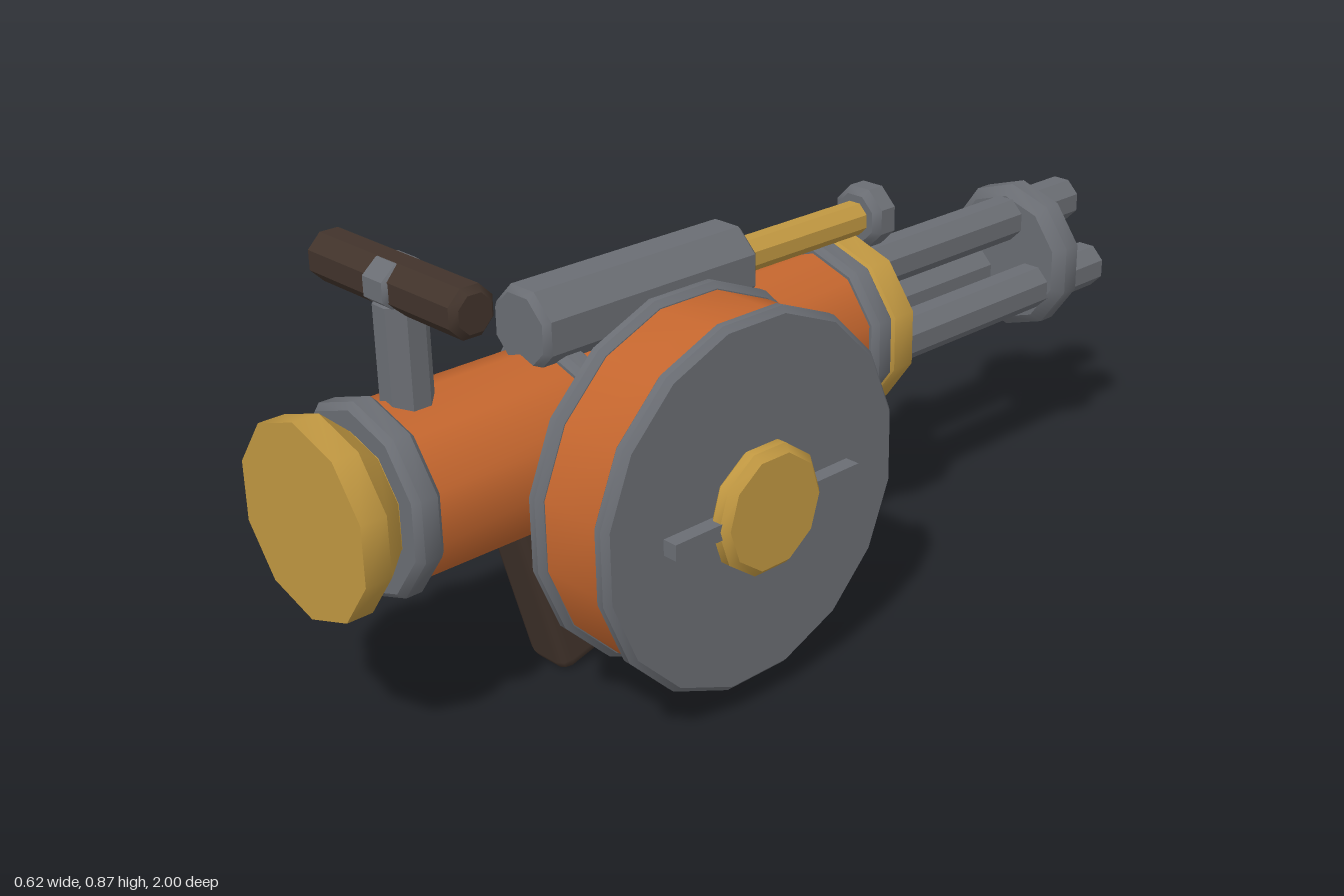
import * as THREE from 'three';
import { toCreasedNormals } from 'three/addons/utils/BufferGeometryUtils.js';
import { RoundedBoxGeometry } from 'three/addons/geometries/RoundedBoxGeometry.js';

const material = (name, color) => {
  const m = new THREE.MeshStandardMaterial({ color });
  m.name = name;
  return m;
};

export function createModel() {
  const group = new THREE.Group();
  const orange = material('orange paint', 0xc4662e);
  const steel = material('grey steel', 0x6a6d73);
  const brass = material('brass', 0xc09741);
  const wood = material('dark wood', 0x41332b);
  const black = material('bore black', 0x161616);

  const CX = -0.11, CY = 0.473; // axis of the main tube

  const add = (name, geometry, mat, x = 0, y = 0, z = 0) => {
    const mesh = new THREE.Mesh(geometry, mat);
    mesh.name = name;
    mesh.position.set(x, y, z);
    group.add(mesh);
    return mesh;
  };

  // Turned part along an axis; profile is [radius, distance] from start to end.
  const turned = (name, mat, axis, sides, profile, pos, flatTop = false) => {
    const g = new THREE.LatheGeometry(profile.map(([r, d]) => new THREE.Vector2(r, d)), sides);
    if (flatTop) g.rotateY(Math.PI / sides);
    if (axis === 'z') g.rotateX(Math.PI / 2);
    if (axis === 'x') g.rotateZ(-Math.PI / 2);
    return add(name, toCreasedNormals(g, 0.7), mat, ...pos);
  };

  // Solid disc or rod from a to b with bevelled rims.
  const disc = (name, mat, axis, sides, r, a, b, bevel, pos, flatTop) =>
    turned(name, mat, axis, sides, [
      [0, a], [r - bevel, a], [r, a + bevel], [r, b - bevel], [r - bevel, b], [0, b],
    ], pos, flatTop);

  // Main tube, its bands and brass ends
  const axisPos = [CX, CY, 0];
  disc('mainTube', orange, 'z', 10, 0.16, -0.23, 0.88, 0.002, axisPos);
  for (const z of [-0.215, 0.1, 0.472, 0.868]) {
    disc('tubeBand', steel, 'z', 10, 0.178, z - 0.028, z + 0.028, 0.012, axisPos);
  }
  turned('rearCap', brass, 'z', 10,
    [[0, 0.88], [0.13, 0.88], [0.13, 0.897], [0.178, 0.95], [0.178, 1], [0, 1]], axisPos);
  turned('frontCollar', brass, 'z', 10,
    [[0, -0.307], [0.165, -0.307], [0.178, -0.295], [0.178, -0.243], [0.165, -0.232], [0, -0.232]], axisPos);

  // Three barrels with dark bores, held by a clamp disc
  for (let i = 0; i < 3; i++) {
    const a = Math.PI / 2 + i * Math.PI * 2 / 3;
    const pos = [CX + 0.09 * Math.cos(a), CY + 0.09 * Math.sin(a), 0];
    disc('barrel', steel, 'z', 8, 0.049, -0.99, -0.29, 0.01, pos, true);
    disc('bore', black, 'z', 8, 0.031, -1, -0.985, 0.002, pos, true);
  }
  disc('barrelClamp', steel, 'z', 10, 0.161, -0.867, -0.785, 0.022, axisPos);

  // Pump on top: cylinder, rod and knob
  const pumpPos = [CX, 0.678, 0];
  disc('pumpCylinder', steel, 'z', 8, 0.081, 0.033, 0.542, 0.012, pumpPos, true);
  disc('pumpRod', brass, 'z', 8, 0.035, -0.32, 0.05, 0.002, pumpPos, true);
  disc('pumpKnob', steel, 'z', 8, 0.065, -0.372, -0.306, 0.014, pumpPos, true);

  // Rear carrying handle
  const barPos = [CX, 0.83, 0.78];
  disc('handlePost', steel, 'y', 8, 0.046, 0.58, 0.805, 0.006, [CX, 0, 0.78], true);
  disc('handleBar', wood, 'x', 8, 0.047, -0.203, 0.203, 0.012, barPos, true);
  disc('handleClamp', steel, 'x', 8, 0.05, -0.034, 0.034, 0.008, barPos, true).scale.set(1, 0.93, 1.1);

  // Tilted pistol grip and trigger
  const grip = add('grip', new RoundedBoxGeometry(0.108, 0.36, 0.15, 1, 0.024), wood, CX, 0.1935, 0.493);
  grip.rotation.x = 0.27;
  const trigger = add('trigger', new RoundedBoxGeometry(0.035, 0.09, 0.03, 1, 0.006), steel, CX, 0.295, 0.375);
  trigger.rotation.x = 0.45;

  // Side drum: mount, orange core, two flanges
  const drumPos = [0, 0.405, 0.34];
  disc('drumMount', steel, 'x', 12, 0.103, -0.03, 0.075, 0.004, [0, CY, 0.33], true);
  disc('drumCore', orange, 'x', 16, 0.339, 0.095, 0.245, 0.002, drumPos, true);
  for (const x of [0.068, 0.234]) {
    disc('drumFlange', steel, 'x', 16, 0.352, x, x + 0.036, 0.011, drumPos, true);
  }

  // Winding key on the drum
  disc('drumHub', brass, 'x', 10, 0.121, 0.265, 0.312, 0.014, drumPos);
  add('keyBar', new THREE.BoxGeometry(0.035, 0.03, 0.44), steel, 0.2825, 0.404, 0.34);

  return group;
}
